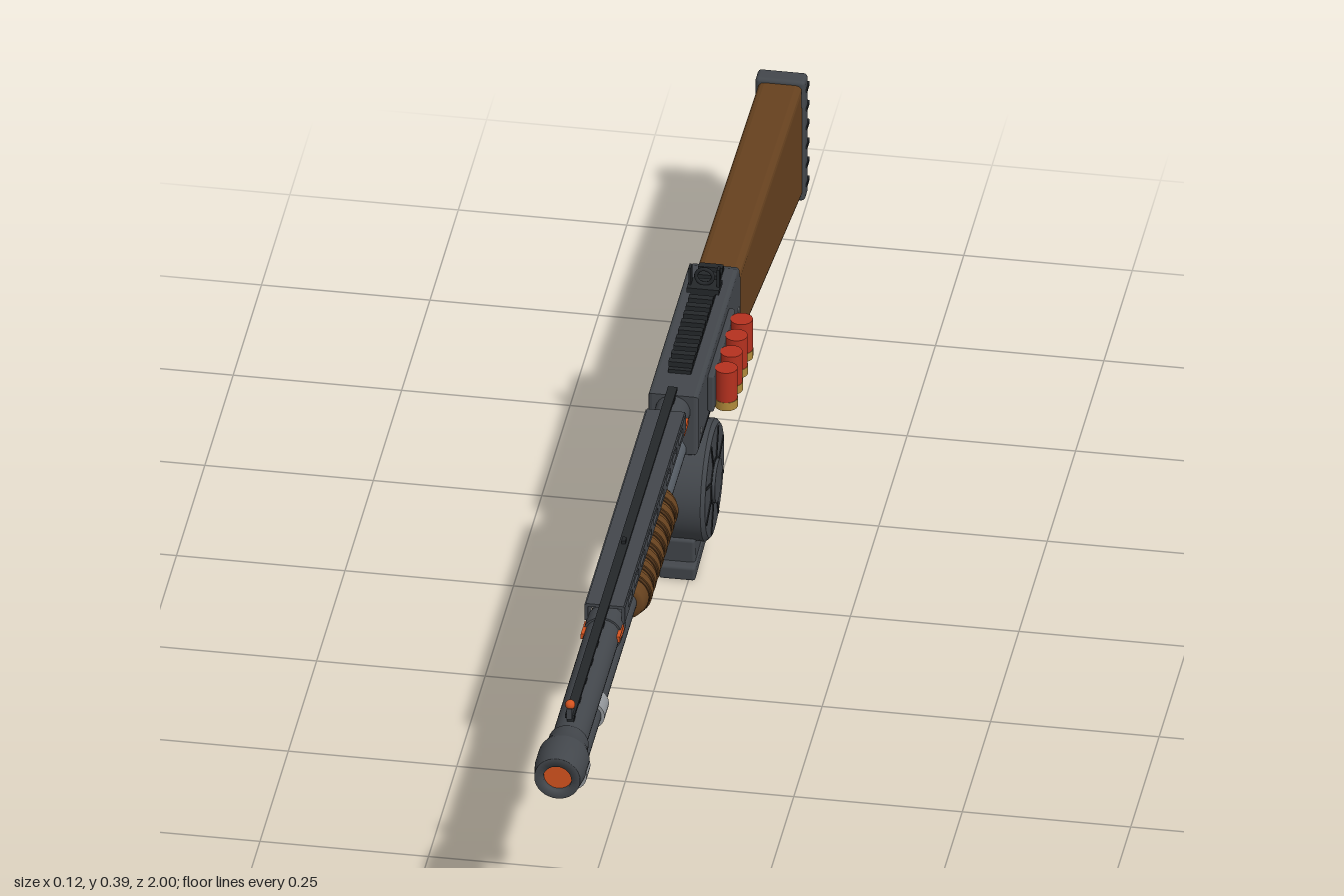
import * as THREE from 'three';
import { RoundedBoxGeometry } from 'three/addons/geometries/RoundedBoxGeometry.js';

const mat = (name, color) => {
  const m = new THREE.MeshStandardMaterial({ color });
  m.name = name;
  return m;
};

export function createModel() {
  const steel = mat('gunmetal', 0x43474c), black = mat('black', 0x24272a), tubeGrey = mat('blue grey', 0x565d65);
  const wood = mat('walnut', 0x67421f), darkWood = mat('dark walnut', 0x4a2f17), orange = mat('orange', 0xd4531f);
  const red = mat('red', 0xb5311f), brass = mat('brass', 0xb08a3a), silver = mat('silver', 0x94989c);

  const root = new THREE.Group();
  root.name = 'toyLauncher';
  root.position.x = -0.017; // side shells widen the right side
  const add = (name, geo, m, x = 0, y = 0, z = 0) => {
    const mesh = new THREE.Mesh(geo, m);
    mesh.name = name;
    mesh.position.set(x, y, z);
    root.add(mesh);
    return mesh;
  };
  const box = (name, m, w, h, d, x, y, z) => add(name, new THREE.BoxGeometry(w, h, d), m, x, y, z);
  const rbox = (name, m, w, h, d, x, y, z, r = 0.005) => add(name, new RoundedBoxGeometry(w, h, d, 2, r), m, x, y, z);
  // cylinder along z between two positions
  const rod = (name, m, r, z0, z1, y, x = 0, seg = 28) =>
    add(name, new THREE.CylinderGeometry(r, r, z1 - z0, seg).rotateX(Math.PI / 2), m, x, y, (z0 + z1) / 2);
  // cylinder along x
  const disc = (name, m, r, w, x, y, z, seg = 40) =>
    add(name, new THREE.CylinderGeometry(r, r, w, seg).rotateZ(Math.PI / 2), m, x, y, z);
  // side outline in (z, y) extruded across x
  const plate = (name, m, shape, width, bevel = 0, x = 0) => {
    const g = new THREE.ExtrudeGeometry(shape, {
      depth: width - 2 * bevel, bevelEnabled: bevel > 0, bevelSize: bevel, bevelThickness: bevel,
      bevelOffset: -bevel, bevelSegments: 3, curveSegments: 16,
    });
    return add(name, g.translate(0, 0, bevel - width / 2).rotateY(-Math.PI / 2), m, x);
  };
  const poly = pts => new THREE.Shape(pts.map(p => new THREE.Vector2(...p)));
  // turned part along z from [radius, z] pairs
  const turned = (name, m, pts, y) =>
    add(name, new THREE.LatheGeometry(pts.map(p => new THREE.Vector2(...p)), 32).rotateX(Math.PI / 2), m, 0, y);

  // barrel and muzzle
  const by = 0.316;
  rod('barrel', steel, 0.026, -0.03, 0.93, by);
  turned('muzzle', steel, [[0.026, 0.892], [0.03, 0.9], [0.03, 0.915], [0.038, 0.94], [0.038, 0.94], [0.038, 0.972],
    [0.034, 0.998], [0.034, 1], [0.021, 1], [0.021, 0.985]], by);
  rod('muzzlePlug', orange, 0.0215, 0.97, 0.992, by);
  rod('barrelCollar', steel, 0.029, 0.565, 0.6, by);
  for (const s of [-1, 1]) {
    for (const z of [0.602, 0.03]) box('barrelMark', orange, 0.006, 0.009, 0.035, s * 0.026, 0.322, z);
  }

  // ventilated rib with front bead
  box('rib', black, 0.014, 0.006, 0.91, 0, 0.355, 0.435);
  for (let i = 0; i < 18; i++) box('ribPost', black, 0.01, 0.016, 0.016, 0, 0.346, -0.005 + i * 0.0517);
  box('beadPost', steel, 0.008, 0.018, 0.016, 0, 0.361, 0.885);
  add('frontBead', new THREE.SphereGeometry(0.0075, 16, 12), orange, 0, 0.373, 0.885);

  // slotted heat shield
  box('shieldTop', steel, 0.056, 0.005, 0.54, 0, 0.352, 0.31);
  const side = poly([[0.04, 0.326], [0.58, 0.326], [0.58, 0.353], [0.04, 0.353]]);
  for (let i = 0; i < 9; i++) {
    const z = 0.066 + i * 0.056;
    const h = new THREE.Path();
    h.moveTo(z, 0.334); h.lineTo(z, 0.345); h.lineTo(z + 0.036, 0.345); h.lineTo(z + 0.036, 0.334); h.closePath();
    side.holes.push(h);
  }
  for (const s of [-1, 1]) plate('shieldSide', steel, side, 0.005, 0, s * 0.0275);
  box('shieldSight', black, 0.006, 0.01, 0.012, 0, 0.358, 0.41);

  // magazine tube
  const ty = 0.25;
  rod('tube', steel, 0.018, 0.38, 0.86, ty);
  rod('rearTube', tubeGrey, 0.02, -0.03, 0.14, ty);
  rod('tubeCap', silver, 0.0245, 0.852, 0.885, ty);
  rod('tubeBand', silver, 0.023, 0.68, 0.718, ty);
  for (const z of [0.655, 0.81]) {
    add('tubeStrut', new THREE.CylinderGeometry(0.007, 0.007, 0.05, 14), silver, 0, 0.278, z);
  }

  // ribbed pump grip
  turned('pumpGrip', wood, [[0.018, 0.125], [0.028, 0.125], [0.033, 0.135], [0.033, 0.39], [0.028, 0.405], [0.018, 0.405]], ty);
  for (let i = 0; i < 8; i++) {
    const z = 0.152 + i * 0.0315;
    rod('pumpRib', wood, 0.0365, z - 0.007, z + 0.007, ty);
    rod('pumpGroove', darkWood, 0.0345, z + 0.007, z + 0.014, ty);
  }

  // receiver
  plate('receiver', steel, poly([[-0.02, 0.243], [-0.02, 0.343], [-0.375, 0.343], [-0.393, 0.335], [-0.406, 0.31],
    [-0.406, 0.243]]), 0.074, 0.006);
  box('receiverRail', black, 0.034, 0.008, 0.29, 0, 0.345, -0.225);
  for (let i = 0; i < 13; i++) box('railTooth', black, 0.036, 0.009, 0.011, 0, 0.353, -0.093 - i * 0.022);
  for (const s of [-1, 1]) {
    for (const [z, y] of [[-0.05, 0.268], [-0.3, 0.262], [-0.38, 0.27]]) disc('pin', silver, 0.005, 0.077, 0, y, z, 12);
    box('receiverSeam', black, 0.002, 0.003, 0.34, s * 0.037, 0.253, -0.21);
  }

  // ejection port and bolt handle on the left-hand wall
  box('ejectionPort', black, 0.004, 0.042, 0.11, -0.0365, 0.305, -0.165);
  rod('chamberedShell', red, 0.012, -0.205, -0.14, 0.305, -0.03, 16);
  rod('chamberedBase', brass, 0.0125, -0.217, -0.205, 0.305, -0.03, 16);
  disc('boltHandle', steel, 0.005, 0.012, -0.036, 0.31, -0.128, 14);

  // rear ring sight with guard wings
  box('sightBase', black, 0.048, 0.008, 0.03, 0, 0.357, -0.3);
  add('sightRing', new THREE.TorusGeometry(0.0125, 0.003, 8, 24), black, 0, 0.374, -0.3);
  for (const s of [-1, 1]) box('sightWing', black, 0.004, 0.032, 0.012, s * 0.021, 0.374, -0.3);

  // side shell carrier
  rbox('shellCarrier', steel, 0.01, 0.062, 0.19, 0.041, 0.294, -0.203, 0.003);
  for (let i = 0; i < 4; i++) {
    const z = -0.136 - i * 0.045;
    add('shellBody', new THREE.CylinderGeometry(0.0165, 0.0165, 0.052, 20), red, 0.06, 0.299, z);
    add('shellBase', new THREE.CylinderGeometry(0.0172, 0.0172, 0.014, 20), brass, 0.06, 0.267, z);
  }

  // drum magazine
  const dy = 0.13, dz = -0.133;
  const drum = [[0, -0.041], [0.085, -0.041], [0.091, -0.035], [0.091, -0.035], [0.091, 0.037], [0.091, 0.037], [0.085, 0.043],
    [0.085, 0.043], [0, 0.043]].map(p => new THREE.Vector2(...p));
  add('drum', new THREE.LatheGeometry(drum, 48).rotateZ(-Math.PI / 2), steel, 0, dy, dz);
  disc('drumHub', steel, 0.033, 0.008, 0.045, dy, dz);
  disc('drumHubRing', black, 0.036, 0.004, 0.0425, dy, dz);
  for (let i = 0; i < 8; i++) {
    const a = (i + 0.5) * Math.PI / 4;
    const g = box('drumSpoke', black, 0.003, 0.044, 0.005, 0.043, dy + 0.059 * Math.cos(a), dz + 0.059 * Math.sin(a));
    g.rotation.x = a;
  }
  rbox('drumNeck', steel, 0.05, 0.06, 0.11, 0, 0.222, -0.135);
  rbox('drumFoot', steel, 0.05, 0.05, 0.095, 0, 0.045, -0.113).rotation.x = 0.09;
  rbox('drumFootPad', steel, 0.055, 0.025, 0.112, 0, 0.0178, -0.11).rotation.x = 0.09;

  // trigger and guard
  const guard = new THREE.CatmullRomCurve3([[0.245, -0.228], [0.212, -0.238], [0.2, -0.262], [0.2, -0.31], [0.208, -0.36],
    [0.225, -0.395]].map(([y, z]) => new THREE.Vector3(0, y, z)));
  const guardMesh = add('triggerGuard', new THREE.TubeGeometry(guard, 30, 0.004, 8), black);
  guardMesh.scale.x = 2.2;
  const trigger = new THREE.CatmullRomCurve3([[0.25, -0.272], [0.23, -0.274], [0.212, -0.285]]
    .map(([y, z]) => new THREE.Vector3(0, y, z)));
  add('trigger', new THREE.TubeGeometry(trigger, 10, 0.004, 8), black).scale.x = 1.5;

  // stock with grip
  const stock = poly([[-0.403, 0.309], [-0.403, 0.248], [-0.377, 0.21], [-0.379, 0.195], [-0.406, 0.108], [-0.412, 0.099],
    [-0.444, 0.099], [-0.452, 0.106], [-0.466, 0.165], [-0.475, 0.177], [-0.49, 0.178], [-0.972, 0.096], [-0.972, 0.291],
    [-0.43, 0.31]]);
  plate('stock', wood, stock, 0.066, 0.01);
  disc('slingLoop', black, 0.008, 0.012, 0, 0.112, -0.855, 14);

  // butt pad
  rbox('buttPad', steel, 0.074, 0.207, 0.03, 0, 0.194, -0.98, 0.006);
  for (let i = 0; i < 6; i++) box('buttRib', black, 0.077, 0.006, 0.022, 0, 0.112 + i * 0.0328, -0.989);

  const model = new THREE.Group();
  model.name = 'model';
  model.add(root);
  return model;
}
